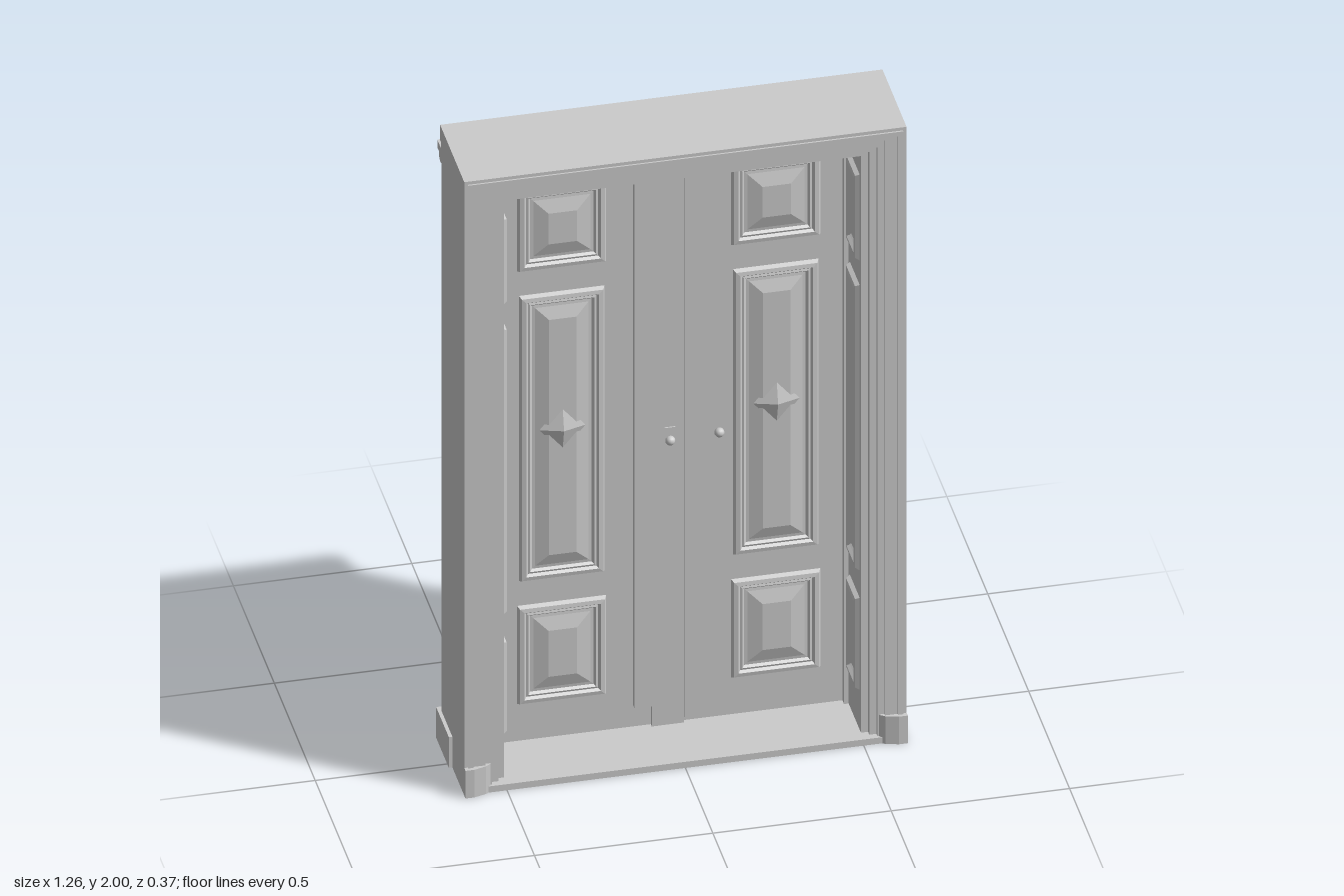
import * as THREE from 'three';

const mat = new THREE.MeshStandardMaterial({ color: 0xcccccc });
const flat = new THREE.MeshStandardMaterial({ color: 0xcccccc, flatShading: true, side: THREE.DoubleSide });

function add(parent, name, geo, x = 0, y = 0, z = 0, material = mat) {
  const m = new THREE.Mesh(geo, material);
  m.name = name;
  m.position.set(x, y, z);
  parent.add(m);
  return m;
}

// box given by its limits
function box(parent, name, x0, x1, y0, y1, z0, z1) {
  return add(parent, name, new THREE.BoxGeometry(x1 - x0, y1 - y0, z1 - z0),
    (x0 + x1) / 2, (y0 + y1) / 2, (z0 + z1) / 2);
}

// upside-down U running around the doorway
function surround(parent, name, w, h, iw, ih, z0, z1) {
  const s = new THREE.Shape([[-w, 0], [-iw, 0], [-iw, ih], [iw, ih], [iw, 0], [w, 0], [w, h], [-w, h]]
    .map(p => new THREE.Vector2(...p)));
  add(parent, name, new THREE.ExtrudeGeometry(s, { depth: z1 - z0, bevelEnabled: false }), 0, 0, z0);
}

// moulded panel facing +z: shrinking rings of [inset, height]; top and bottom edges may sag
function panelGeometry(w, h, sagTop = 0, sagBottom = 0, rise = 0.014) {
  const profile = [[0, 0], [0.006, 0.012], [0.018, 0.014], [0.024, 0.006], [0.03, 0.008],
    [0.036, 0.001], [0.045, 0.002], [Math.min(w, h) * 0.34, rise]];
  const n = 10, count = 2 * (n + 1), pos = [], idx = [];
  for (const [inset, z] of profile) {
    const a = w / 2 - inset, b = h / 2 - inset;
    for (let side = 0; side < 2; side++) {
      for (let i = 0; i <= n; i++) {
        const t = side ? 1 - 2 * i / n : 2 * i / n - 1;
        const sag = (side ? sagTop : sagBottom) * Math.cos(t * Math.PI / 2);
        pos.push(t * a, (side ? b : -b) - sag, z);
      }
    }
  }
  for (let r = 0; r < profile.length - 1; r++) {
    for (let i = 0; i < count; i++) {
      const j = (i + 1) % count, p = r * count, q = p + count;
      idx.push(p + i, p + j, q + j, p + i, q + j, q + i);
    }
  }
  // centre field joins the lower row to the upper row
  const c = (profile.length - 1) * count;
  for (let i = 0; i < n; i++) {
    const u = c + count - 1 - i;
    idx.push(c + i, c + i + 1, u - 1, c + i, u - 1, u);
  }
  const g = new THREE.BufferGeometry();
  g.setAttribute('position', new THREE.Float32BufferAttribute(pos, 3));
  g.setIndex(idx);
  const out = g.toNonIndexed();
  out.computeVertexNormals();
  return out;
}

function lathe(points, segments = 20) {
  return new THREE.LatheGeometry(points.map(p => new THREE.Vector2(...p)), segments);
}

export function createModel() {
  const model = new THREE.Group();
  model.name = 'doubleDoor';

  // casing with stepped architrave on the front
  const frame = new THREE.Group();
  frame.name = 'frame';
  model.add(frame);
  surround(frame, 'casing', 0.62, 2, 0.5, 1.9, -0.1, 0.13);
  surround(frame, 'architraveInner', 0.62, 2, 0.52, 1.92, 0.13, 0.145);
  surround(frame, 'architraveMiddle', 0.62, 2, 0.54, 1.94, 0.145, 0.157);
  surround(frame, 'architraveOuter', 0.62, 2, 0.56, 1.965, 0.157, 0.165);
  surround(frame, 'architraveBead', 0.61, 1.99, 0.595, 1.975, 0.165, 0.17);
  surround(frame, 'doorStop', 0.502, 1.902, 0.487, 1.895, -0.04, -0.02);
  box(frame, 'threshold', -0.61, 0.61, 0, 0.02, -0.11, 0.165);

  // cornice over the back
  box(frame, 'corniceTop', -0.62, 0.62, 1.95, 2, -0.13, -0.1);
  box(frame, 'corniceStep', -0.62, 0.62, 1.925, 1.95, -0.12, -0.1);
  box(frame, 'corniceBead', -0.6, 0.6, 1.905, 1.925, -0.11, -0.09);

  for (const s of [-1, 1]) {
    // panelled reveals
    for (const [y, h] of [[1.69, 0.28], [1.005, 0.93], [0.3, 0.3]]) {
      const p = add(frame, 'revealPanel', panelGeometry(0.12, h, 0, 0, 0.006), s * 0.5, y, 0.055, flat);
      p.rotation.y = -s * Math.PI / 2;
    }

    // front plinths
    const foot = new THREE.Shape([[0.545, 0.16], [0.56, 0.17], [0.595, 0.18], [0.62, 0.18], [0.62, 0.1], [0.545, 0.1]]
      .map(([x, z]) => new THREE.Vector2(s * x, -z)));
    add(frame, 'frontPlinth', new THREE.ExtrudeGeometry(foot, { depth: 0.09, bevelEnabled: false }))
      .rotation.x = -Math.PI / 2;

    // rear pilaster with base, half column, necking and scroll
    const pilaster = new THREE.Group();
    pilaster.name = 'pilaster';
    pilaster.position.x = s * 0.565;
    frame.add(pilaster);
    box(pilaster, 'pilasterBase', -0.065, 0.065, 0, 0.1, -0.135, 0.02);
    box(pilaster, 'outerEdge', s * 0.04 - 0.015, s * 0.04 + 0.015, 0.1, 1.92, -0.115, -0.09);
    const shaft = add(pilaster, 'halfColumn', lathe([[0.04, 0.1], [0.04, 0.115], [0.03, 0.14], [0.03, 1.46],
      [0.034, 1.47], [0.038, 1.5], [0.03, 1.52]]), -s * 0.008, 0, -0.1);
    shaft.scale.z = 0.8;
    box(pilaster, 'neckBand', -0.045, 0.045, 1.5, 1.53, -0.135, -0.1);
    box(pilaster, 'upperBlock', -0.04, 0.04, 1.53, 1.84, -0.122, -0.1);
    const inlay = add(pilaster, 'upperInlay', panelGeometry(0.07, 0.26, 0, 0, 0.004), 0, 1.67, -0.122, flat);
    inlay.rotation.y = Math.PI;
    box(pilaster, 'scrollCap', -0.055, 0.055, 1.905, 1.93, -0.165, -0.1);
    for (const [r, len, y, z] of [[0.042, 0.085, 1.885, -0.143], [0.018, 0.1, 1.885, -0.148], [0.025, 0.075, 1.835, -0.122]]) {
      add(pilaster, 'scroll', new THREE.CylinderGeometry(r, r, len, 20), 0, y, z).rotation.z = Math.PI / 2;
    }

    // door leaf
    const leaf = new THREE.Group();
    leaf.name = s > 0 ? 'leftLeaf' : 'rightLeaf';
    model.add(leaf);
    const cx = s * 0.3;
    box(leaf, 'leafSlab', s > 0 ? 0 : -0.5, s > 0 ? 0.5 : 0, 0.02, 1.905, -0.085, -0.04);

    // front panels and diamond
    for (const [y0, y1, w] of [[1.55, 1.82, 0.25], [0.54, 1.47, 0.24], [0.14, 0.46, 0.25]]) {
      add(leaf, 'frontPanel', panelGeometry(w, y1 - y0), cx, (y0 + y1) / 2, -0.04, flat);
    }
    const diamond = add(leaf, 'frontDiamond', new THREE.ConeGeometry(0.065, 0.02, 4), cx, 1.03, -0.02, flat);
    diamond.rotation.x = Math.PI / 2;
    diamond.scale.z = 1.2;

    // back panels: boss panel bulges down into the long panel
    for (const [y0, y1, sagTop, sagBottom] of [[1.5, 1.8, 0, 0.045], [0.56, 1.48, 0.045, 0], [0.13, 0.46, 0, 0]]) {
      add(leaf, 'backPanel', panelGeometry(0.26, y1 - y0, sagTop, sagBottom, 0.01), cx, (y0 + y1) / 2, -0.085, flat)
        .rotation.y = Math.PI;
    }
    add(leaf, 'boss', new THREE.SphereGeometry(0.075, 24, 16), cx, 1.62, -0.09).scale.z = 0.4;
    add(leaf, 'bossRing', new THREE.TorusGeometry(0.088, 0.012, 8, 32), cx, 1.62, -0.092);
    box(leaf, 'hood', cx - 0.145, cx + 0.145, 1.825, 1.85, -0.115, -0.08);
    box(leaf, 'hoodStep', cx - 0.13, cx + 0.13, 1.8, 1.825, -0.103, -0.08);

    // slim column on the meeting stile
    const column = add(leaf, 'stileColumn', lathe([[0, 0.03], [0.04, 0.03], [0.04, 0.09], [0.028, 0.11], [0.028, 0.5],
      [0.034, 0.51], [0.034, 0.54], [0.028, 0.55], [0.028, 1.76], [0.036, 1.78], [0.03, 1.8], [0.036, 1.84],
      [0.042, 1.87], [0.03, 1.9], [0, 1.9]]), s * 0.052, 0, -0.09);
    column.scale.z = 0.9;
  }

  // front meeting strips, rear cover strip and handles
  const centre = new THREE.Group();
  centre.name = 'meetingStile';
  model.add(centre);
  box(centre, 'coverStrip', -0.1, -0.05, 0.09, 1.9, -0.04, -0.02);
  box(centre, 'centreStrip', -0.05, 0.04, 0.02, 1.9, -0.04, -0.028);
  box(centre, 'edgeStrip', 0.045, 0.095, 0.03, 1.9, -0.04, -0.034);
  box(centre, 'rearStrip', -0.024, 0.024, 0.1, 1.05, -0.105, -0.085);
  box(centre, 'lockPlate', -0.015, 0.015, 0.82, 0.99, -0.028, -0.024);
  for (const [x, y, z] of [[0, 0.95, -0.02], [0.14, 0.95, -0.03], [0, 0.95, -0.115]]) {
    add(centre, 'knob', new THREE.SphereGeometry(0.014, 12, 8), x, y, z);
  }
  return model;
}
